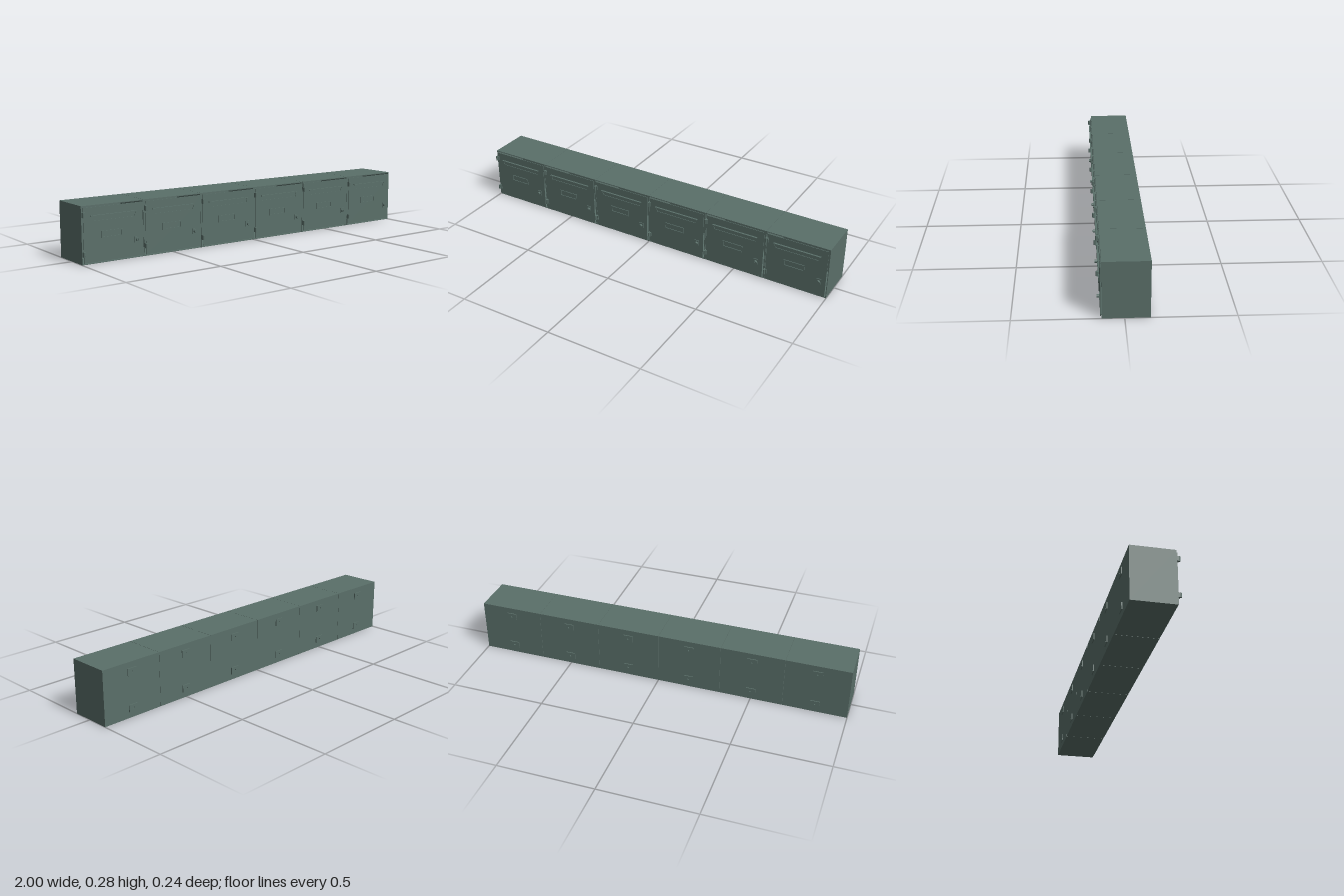
import * as THREE from 'three';

const COUNT = 6, PITCH = 2 / COUNT, W = 0.332, H = 0.277;
const FRONT = 0.102, BACK = -0.115, WALL = 0.004, DOOR_FRONT = 0.107;

export function createModel() {
  const paint = new THREE.MeshStandardMaterial({ color: 0x5a6f69 });
  paint.name = 'grey green paint';

  const add = (parent, name, geometry, x = 0, y = 0, z = 0) => {
    const mesh = new THREE.Mesh(geometry, paint);
    mesh.name = name;
    mesh.position.set(x, y, z);
    parent.add(mesh);
    return mesh;
  };
  const polygon = (points) => points.map(([x, y]) => new THREE.Vector2(x, y));
  const rect = (w, h, cx = 0, cy = 0) => polygon([
    [cx - w / 2, cy - h / 2], [cx + w / 2, cy - h / 2],
    [cx + w / 2, cy + h / 2], [cx - w / 2, cy + h / 2],
  ]);
  // Flat plate with openings, its back face at z = 0
  const plate = (outline, holes, depth) => {
    const shape = new THREE.Shape(outline);
    holes.forEach((hole) => shape.holes.push(new THREE.Path(hole)));
    return new THREE.ExtrudeGeometry(shape, { depth, bevelEnabled: false });
  };
  const circle = (r, sides = 16) => Array.from({ length: sides }, (_, i) => {
    const a = (i / sides) * Math.PI * 2;
    return new THREE.Vector2(Math.cos(a) * r, Math.sin(a) * r);
  });

  // Shared geometries, coordinates relative to the middle of one box
  const slot = polygon([[-0.114, 0.203], [0.114, 0.203], [0.12, 0.226], [-0.12, 0.226]]);
  const shellGeo = plate(rect(W, H, 0, H / 2),
    [rect(W - 2 * WALL, H - 2 * WALL, 0, H / 2)], FRONT - BACK);
  const backGeo = new THREE.BoxGeometry(W - 2 * WALL, H - 2 * WALL, WALL);
  const doorGeo = plate(rect(0.316, 0.26, 0, 0.138), [slot], 0.003);
  const flapGeo = new THREE.BoxGeometry(0.25, 0.032, 0.002);
  const hoodGeo = new THREE.BoxGeometry(0.246, 0.004, 0.009);
  const nameGeo = plate(rect(0.11, 0.034), [rect(0.1, 0.024)], 0.004);
  const lockPlateGeo = plate(rect(0.024, 0.029), [], 0.004);
  const lockGeo = new THREE.CylinderGeometry(0.008, 0.008, 0.015, 20).rotateX(Math.PI / 2);
  const keyGeo = new THREE.BoxGeometry(0.002, 0.009, 0.001);
  const hingeLeafGeo = new THREE.BoxGeometry(0.014, 0.024, 0.012);
  const hingePinGeo = new THREE.CylinderGeometry(0.005, 0.005, 0.024, 16);
  const bracketGeo = plate(rect(0.05, 0.036), [circle(0.005)], 0.005);

  const makeBox = () => {
    const box = new THREE.Group();
    box.name = 'mailbox';

    // Open-fronted casing
    add(box, 'casing', shellGeo, 0, 0, BACK);
    add(box, 'backPanel', backGeo, 0, H / 2, BACK + WALL / 2);

    // Door with letter slot, hood and name frame
    add(box, 'door', doorGeo, 0, 0, DOOR_FRONT - 0.003);
    add(box, 'slotFlap', flapGeo, 0, 0.214, 0.1025);
    add(box, 'slotHood', hoodGeo, 0, 0.228, DOOR_FRONT + 0.0045);
    add(box, 'nameFrame', nameGeo, -0.01, 0.135, DOOR_FRONT);

    // Lock
    add(box, 'lockPlate', lockPlateGeo, 0.123, 0.09, DOOR_FRONT);
    add(box, 'lockBarrel', lockGeo, 0.123, 0.09, DOOR_FRONT + 0.0075);
    add(box, 'keyhole', keyGeo, 0.123, 0.09, DOOR_FRONT + 0.0153);

    // Hinges and rear wall brackets, upper and lower
    for (const y of [0.051, 0.235]) {
      add(box, 'hingeLeaf', hingeLeafGeo, -0.157, y, FRONT + 0.006);
      add(box, 'hingePin', hingePinGeo, -0.16, y, FRONT + 0.013);
    }
    for (const y of [0.048, 0.229]) {
      add(box, 'wallBracket', bracketGeo, 0, y, BACK - 0.005);
    }
    return box;
  };

  // Row of identical boxes
  const model = new THREE.Group();
  model.name = 'mailboxRow';
  for (let i = 0; i < COUNT; i++) {
    const box = makeBox();
    box.position.x = (i - (COUNT - 1) / 2) * PITCH;
    model.add(box);
  }
  return model;
}
